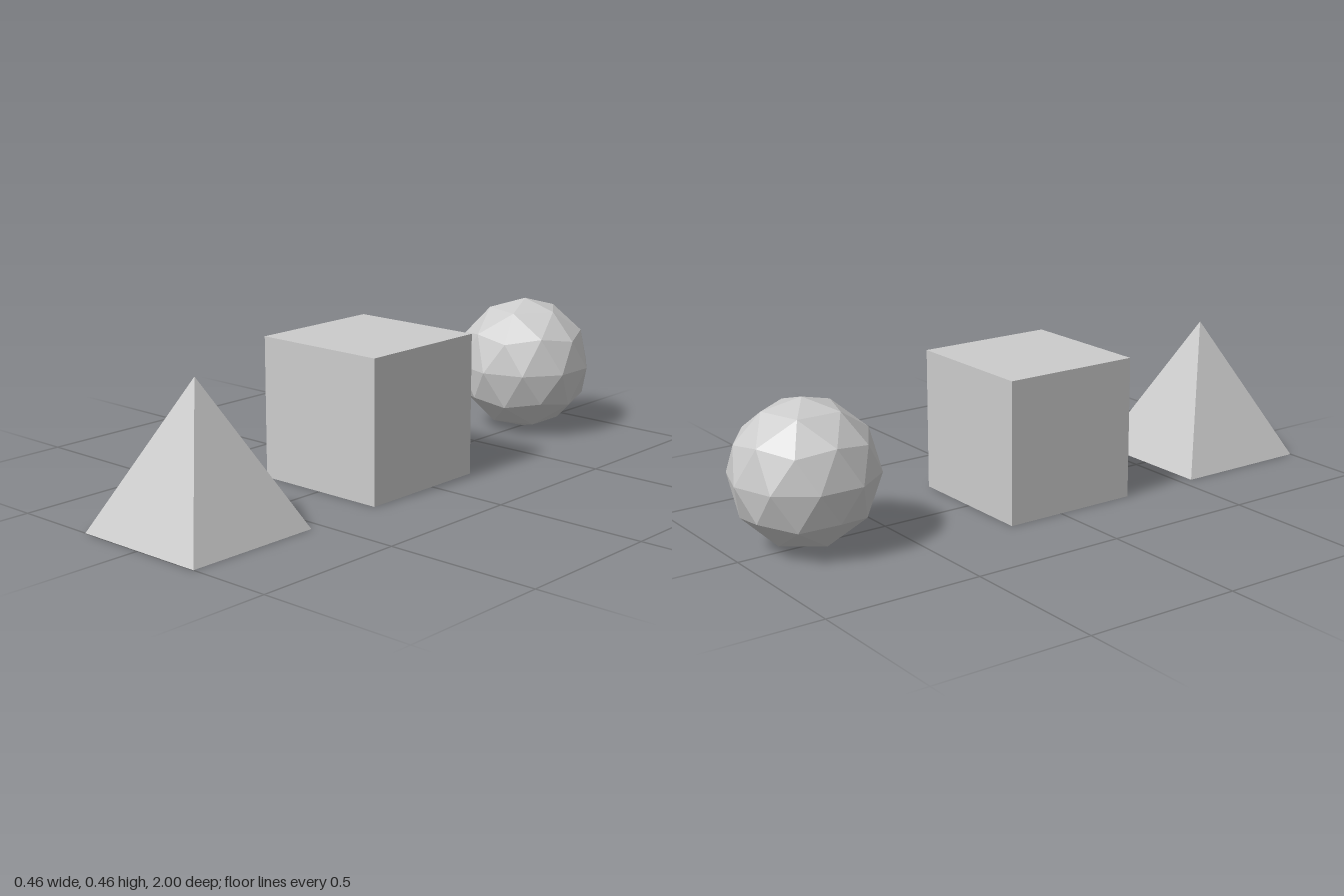
import * as THREE from 'three';

const SIZE = 0.458; // shared width and height of the three solids
const R = SIZE / 2;

// Icosahedron standing on a vertex, each face split into four
function icoSphere(radius) {
  const h = 1 / Math.sqrt(5), ring = 2 * h;
  const vertices = [0, 1, 0];
  for (const [y, turn] of [[h, 0], [-h, Math.PI / 5]]) {
    for (let i = 0; i < 5; i++) {
      const a = turn + (i * 2 * Math.PI) / 5;
      vertices.push(ring * Math.cos(a), y, -ring * Math.sin(a));
    }
  }
  vertices.push(0, -1, 0);
  const faces = [];
  for (let i = 0; i < 5; i++) {
    const j = (i + 1) % 5;
    const u = 1 + i, u2 = 1 + j, l = 6 + i, l2 = 6 + j;
    faces.push(0, u, u2, u, l, u2, l, l2, u2, 11, l2, l);
  }
  return new THREE.PolyhedronGeometry(vertices, faces, radius, 1);
}

export function createModel() {
  const group = new THREE.Group();
  group.name = 'basicSolids';
  const material = new THREE.MeshStandardMaterial({ color: 0xcccccc, flatShading: true });

  const add = (name, geometry, z) => {
    const mesh = new THREE.Mesh(geometry, material);
    mesh.name = name;
    mesh.position.set(0, R, z);
    group.add(mesh);
  };

  // Square pyramid in front, cube in the middle, faceted sphere behind
  add('pyramid', new THREE.ConeGeometry(R * Math.SQRT2, SIZE, 4).rotateY(Math.PI / 4), 0.771);
  add('cube', new THREE.BoxGeometry(SIZE, SIZE, SIZE), 0.04);
  add('sphere', icoSphere(R), -0.771);

  return group;
}
